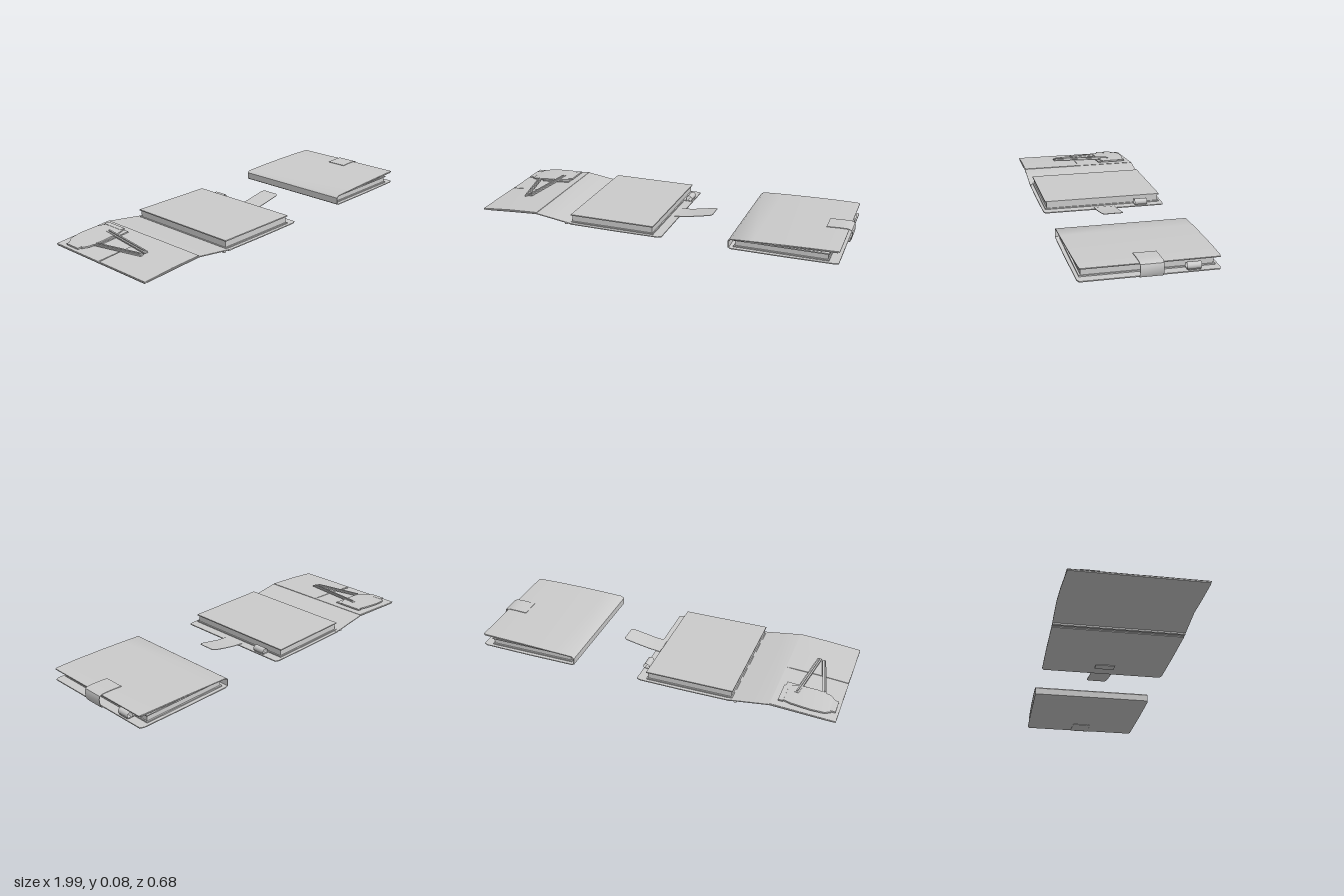
import * as THREE from 'three';
import { toCreasedNormals } from 'three/addons/utils/BufferGeometryUtils.js';

const grey = new THREE.MeshStandardMaterial({ color: 0xcccccc, side: THREE.DoubleSide });

function add(parent, geometry, name, x = 0, y = 0, z = 0) {
  const mesh = new THREE.Mesh(geometry, grey);
  mesh.name = name;
  mesh.position.set(x, y, z);
  parent.add(mesh);
  return mesh;
}

// Bent leather sheet: points are [x, y, half width in z], t is its thickness
function sheet(points, t) {
  const pos = [], index = [], n = points.length;
  points.forEach(([x, y, w], i) => {
    const a = points[Math.max(i - 1, 0)], b = points[Math.min(i + 1, n - 1)];
    const l = Math.hypot(b[0] - a[0], b[1] - a[1]) * 2 / t;
    const nx = -(b[1] - a[1]) / l, ny = (b[0] - a[0]) / l;
    for (const [s, side] of [[1, -1], [1, 1], [-1, 1], [-1, -1]]) {
      pos.push(x + nx * s, y + ny * s, side * w);
    }
  });
  for (let i = 0; i < n - 1; i++) {
    for (let j = 0; j < 4; j++) {
      const a = i * 4 + j, b = i * 4 + (j + 1) % 4;
      index.push(a, b, b + 4, a, b + 4, a + 4);
    }
  }
  const e = (n - 1) * 4;
  index.push(0, 2, 1, 0, 3, 2, e, e + 1, e + 2, e, e + 2, e + 3);
  const g = new THREE.BufferGeometry();
  g.setAttribute('position', new THREE.Float32BufferAttribute(pos, 3));
  g.setIndex(index);
  return toCreasedNormals(g, 0.7);
}

// Page block between two thin boards, from x0 to x1
function pageBlock(parent, x0, x1, y0, y1) {
  const w = x1 - x0, c = (x0 + x1) / 2;
  add(parent, new THREE.BoxGeometry(w - 0.012, y1 - y0 - 0.004, 0.626), 'pages', c, (y0 + y1) / 2, 0);
  for (const [y, name] of [[y0 + 0.003, 'backBoard'], [y1 - 0.003, 'frontBoard']]) {
    add(parent, new THREE.BoxGeometry(w, 0.006, 0.642), name, c, y, 0);
  }
}

// Flattened open loop that holds a pen along the fore edge
function penLoop(parent, x, y) {
  const g = new THREE.CylinderGeometry(0.017, 0.017, 0.07, 16, 1, true).rotateX(Math.PI / 2);
  add(parent, g, 'penLoop', x + 0.012, y, -0.205);
  add(parent, new THREE.BoxGeometry(0.05, 0.004, 0.06), 'penLoopTab', x, y - 0.015, -0.205);
}

// Flat bar between two points of the cover
function bar(parent, x0, z0, x1, z1, y, width, name) {
  const l = Math.hypot(x1 - x0, z1 - z0);
  const m = add(parent, new THREE.BoxGeometry(width, 0.008, l), name, (x0 + x1) / 2, y, (z0 + z1) / 2);
  m.rotation.y = Math.atan2(x1 - x0, z1 - z0);
}

// Inside of the cover: pocket, small pouch and two slim tools
function coverKit() {
  const kit = new THREE.Group();
  kit.name = 'coverKit';
  add(kit, sheet([[-0.335, 0.003, 0.163], [-0.17, 0.006, 0.165], [0, 0.003, 0.168]], 0.003), 'pocket', 0, 0, 0.168);
  add(kit, sheet([[-0.335, 0.003, 0.163], [0, 0.003, 0.168]], 0.002), 'upperPocket', 0, 0, -0.168);
  add(kit, sheet([[-0.3, 0.009, 0.05], [-0.27, 0.013, 0.075], [-0.2, 0.016, 0.085],
    [-0.1, 0.016, 0.08], [-0.04, 0.011, 0.06]], 0.008), 'pouch', 0, 0, -0.225);
  add(kit, new THREE.BoxGeometry(0.03, 0.008, 0.09), 'pouchEnd', -0.305, 0.011, -0.225);
  add(kit, new THREE.BoxGeometry(0.17, 0.006, 0.035), 'pouchEdge', -0.125, 0.01, -0.15);
  add(kit, new THREE.BoxGeometry(0.025, 0.008, 0.13), 'pouchFlap', -0.045, 0.014, -0.235);
  bar(kit, -0.24, -0.16, -0.175, 0.13, 0.014, 0.02, 'leftTool');
  bar(kit, -0.236, -0.14, -0.178, 0.12, 0.02, 0.007, 'leftToolRidge');
  bar(kit, -0.105, -0.21, -0.15, 0.13, 0.018, 0.022, 'rightTool');
  bar(kit, -0.105, -0.2, -0.148, 0.12, 0.024, 0.008, 'rightToolRidge');
  return kit;
}

function openJournal() {
  const g = new THREE.Group();
  g.name = 'openJournal';
  add(g, sheet([[-0.995, 0.013, 0.328], [-0.97, 0.015, 0.331], [-0.8, 0.029, 0.337], [-0.66, 0.038, 0.339],
    [-0.56, 0.024, 0.339], [-0.47, 0.011, 0.339], [-0.44, 0.007, 0.339], [-0.2, 0.006, 0.339],
    [0.04, 0.006, 0.336], [0.06, 0.007, 0.328]], 0.005), 'cover');
  // Raised spine strips underneath
  for (const x of [-0.483, -0.45]) {
    add(g, new THREE.BoxGeometry(0.014, 0.008, 0.676), 'spineStrip', x, 0.007, 0);
  }
  pageBlock(g, -0.462, 0.01, 0.009, 0.055);
  penLoop(g, 0.03, 0.028);
  // Strap passes under the cover and points outwards
  add(g, sheet([[0.035, 0.01, 0.058], [0.1, 0.016, 0.057], [0.17, 0.029, 0.057],
    [0.235, 0.042, 0.056], [0.248, 0.044, 0.045]], 0.003), 'strap', 0, 0, -0.003);
  add(g, new THREE.BoxGeometry(0.05, 0.004, 0.105), 'strapPatch', -0.035, 0.002, 0);
  const kit = coverKit();
  kit.position.set(-0.66, 0.04, 0);
  kit.rotation.z = 0.073;
  g.add(kit);
  return g;
}

function closedJournal() {
  const g = new THREE.Group();
  g.name = 'closedJournal';
  add(g, sheet([[0.98, 0.008, 0.328], [0.96, 0.007, 0.336], [0.7, 0.006, 0.339], [0.435, 0.006, 0.339],
    [0.424, 0.012, 0.339], [0.423, 0.047, 0.339], [0.435, 0.056, 0.339], [0.55, 0.061, 0.339],
    [0.7, 0.066, 0.337], [0.85, 0.069, 0.334], [0.96, 0.07, 0.33], [0.98, 0.069, 0.326]], 0.005), 'cover');
  pageBlock(g, 0.445, 0.93, 0.01, 0.05);
  penLoop(g, 0.95, 0.031);
  // Strap wraps round the fore edge and under the back
  add(g, sheet([[0.865, 0.074, 0.056], [0.93, 0.077, 0.056], [0.975, 0.077, 0.056], [0.994, 0.07, 0.056],
    [0.998, 0.055, 0.056], [0.996, 0.025, 0.056], [0.988, 0.008, 0.056], [0.97, 0.003, 0.056],
    [0.91, 0.003, 0.056]], 0.003), 'strap');
  add(g, new THREE.BoxGeometry(0.05, 0.003, 0.105), 'strapPatch', 0.885, 0.0025, 0);
  const kit = coverKit();
  kit.position.set(0.635, 0.061, 0);
  kit.rotation.z = Math.PI + 0.016;
  kit.scale.y = 0.45;
  g.add(kit);
  return g;
}

export function createModel() {
  const model = new THREE.Group();
  model.name = 'leatherJournals';
  model.add(openJournal(), closedJournal());
  return model;
}
